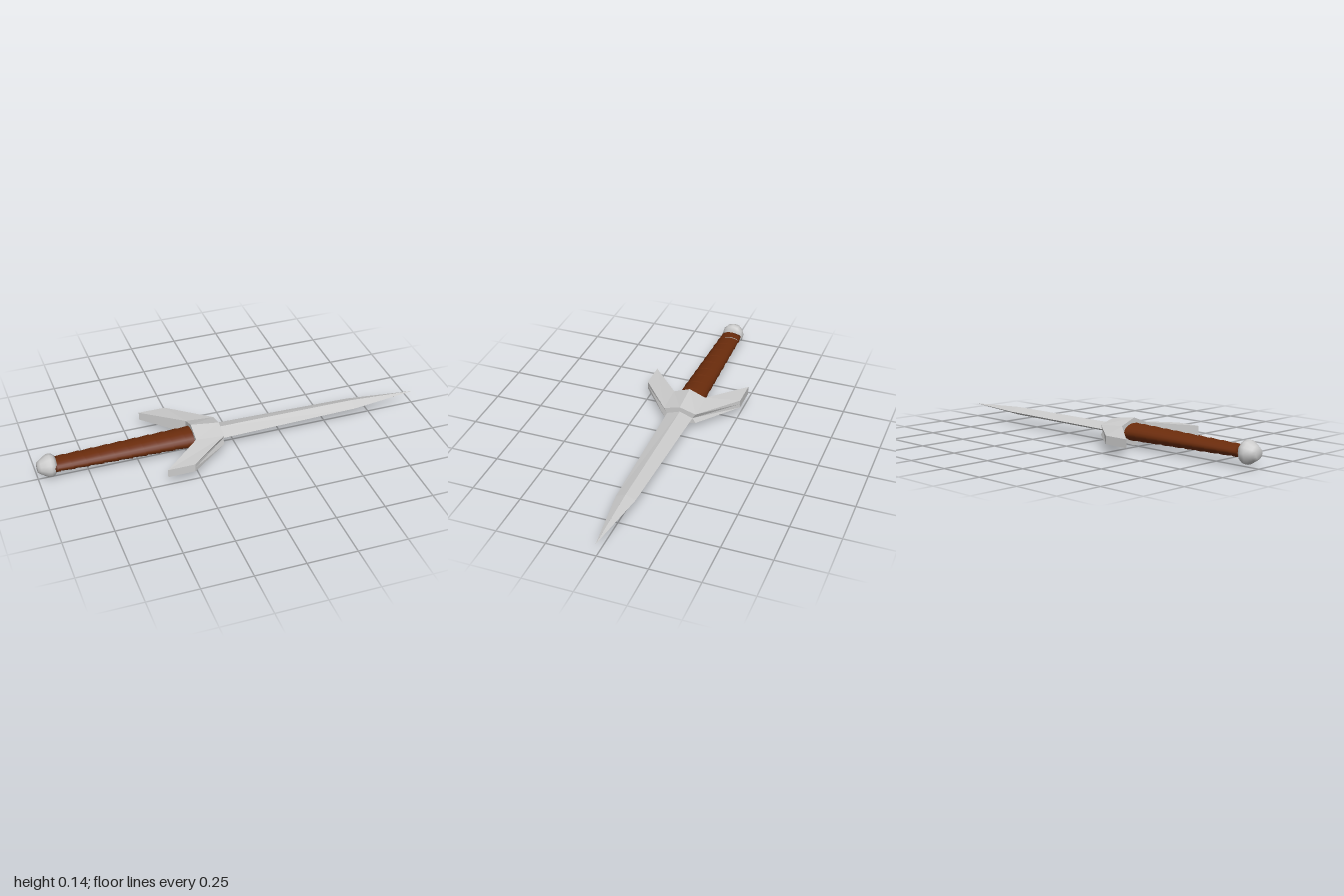
import * as THREE from 'three';
import { ParametricGeometry } from 'three/addons/geometries/ParametricGeometry.js';

const AXIS_Y = 0.071;

// Flat-sided skin through equal-length loops of points, with end caps
function loft(sections, capFrom = 0) {
  const pos = [];
  const tri = (a, b, c) => pos.push(...a, ...b, ...c);
  const n = sections[0].length;
  for (let i = 0; i < sections.length - 1; i++) {
    for (let j = 0; j < n; j++) {
      const k = (j + 1) % n;
      const [a, b, c, d] = [sections[i][j], sections[i][k], sections[i + 1][k], sections[i + 1][j]];
      tri(a, b, c);
      tri(a, c, d);
    }
  }
  const first = sections[0], last = sections[sections.length - 1];
  for (let j = 1; j < n - 1; j++) {
    const p = capFrom, q = (capFrom + j) % n, r = (capFrom + j + 1) % n;
    tri(first[p], first[r], first[q]);
    tri(last[p], last[q], last[r]);
  }
  const g = new THREE.BufferGeometry();
  g.setAttribute('position', new THREE.Float32BufferAttribute(pos, 3));
  g.computeVertexNormals();
  return g;
}

export function createModel() {
  const group = new THREE.Group();
  const steel = new THREE.MeshStandardMaterial({ color: 0xcccccc, flatShading: true });
  const smoothSteel = new THREE.MeshStandardMaterial({ color: 0xcccccc });
  const leather = new THREE.MeshStandardMaterial({ color: 0x6b2c0c, side: THREE.DoubleSide });
  const add = (name, geometry, material) => {
    const mesh = new THREE.Mesh(geometry, material);
    mesh.name = name;
    mesh.position.y = AXIS_Y;
    group.add(mesh);
  };

  // Blade: diamond section tapering to a point
  const diamond = (x, t, w) => [[x, t, 0], [x, 0, w], [x, -t, 0], [x, 0, -w]];
  add('blade', loft([
    diamond(-0.1, 0.024, 0.069), diamond(0.65, 0.021, 0.049), diamond(1, 0.0005, 0.0005),
  ]), steel);

  // Crossguard: swept-back arms with a shallow groove along the leading face
  const rib = (z, back, hb, front, hf, midZ = z) => [
    [front, 0, midZ], [front, hf, z], [back, hb, z], [back, -hb, z], [front, -hf, z],
  ];
  add('crossguard', loft([
    rib(-0.255, -0.417, 0.021, -0.28, 0.021),
    rib(-0.085, -0.22, 0.037, -0.073, 0.026, -0.069),
    rib(0, -0.22, 0.07, -0.073, 0.05),
    rib(0.085, -0.22, 0.037, -0.073, 0.026, 0.069),
    rib(0.255, -0.417, 0.021, -0.28, 0.021),
  ]), steel);

  // Grip: a helical strap, each turn overlapping the next with a raised edge
  const turns = 11, x0 = -0.92, x1 = -0.2;
  const pitch = (x1 - x0) / (turns - 1);
  add('gripWrap', new ParametricGeometry((u, v, out) => {
    const a = u * turns * Math.PI * 2;
    const x = THREE.MathUtils.clamp(x0 + (u * turns - 1 + v) * pitch, x0, x1);
    const t = (x - x0) / (x1 - x0);
    const lift = 0.004 * (v - 0.5);
    out.set(x,
      (THREE.MathUtils.lerp(0.027, 0.043, t) + lift) * Math.cos(a),
      (THREE.MathUtils.lerp(0.052, 0.07, t) + lift) * Math.sin(a));
  }, turns * 20, 2), leather);

  // Pommel: turned knob with a blunt end
  const profile = [[0, -1], [0.024, -1], [0.036, -0.985], [0.045, -0.97], [0.056, -0.952],
    [0.059, -0.937], [0.054, -0.921], [0.04, -0.908], [0, -0.903]];
  const pommel = new THREE.LatheGeometry(profile.map(([r, x]) => new THREE.Vector2(r, x)), 12);
  pommel.rotateZ(-Math.PI / 2);
  add('pommel', pommel, smoothSteel);

  return group;
}
